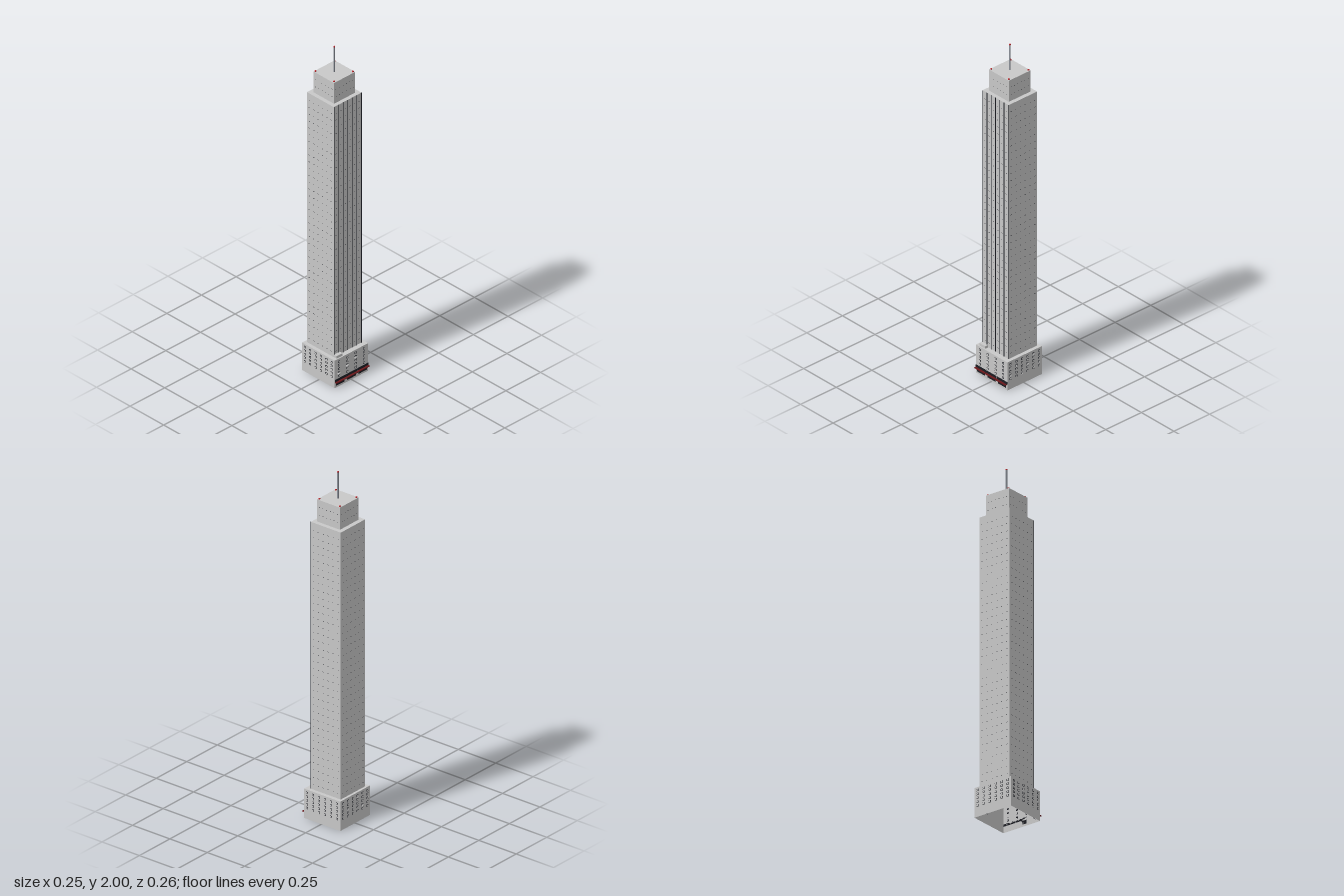
import * as THREE from 'three';
import { mergeGeometries } from 'three/addons/utils/BufferGeometryUtils.js';

const mat = (name, color) => {
  const m = new THREE.MeshStandardMaterial({ color });
  m.name = name;
  return m;
};

// Box geometry given by its extents
function extents(x0, x1, y0, y1, z0, z1) {
  return new THREE.BoxGeometry(x1 - x0, y1 - y0, z1 - z0)
    .translate((x0 + x1) / 2, (y0 + y1) / 2, (z0 + z1) / 2);
}

// Thin box on one wall of a square block: side 0 front, 1 left, 2 back, 3 right
function onWall(block, side, u, y, w, h, depth) {
  return new THREE.BoxGeometry(w, h, depth)
    .translate(u, y, block.half + depth / 2)
    .rotateY(side * Math.PI / 2)
    .translate(0, 0, block.cz);
}

export function createModel() {
  const model = new THREE.Group();
  const concrete = mat('concrete', 0xc8c8c8);
  const dark = mat('dark trim', 0x1c1e24);
  const red = mat('awning red', 0x6a181c);
  const lamp = mat('beacon red', 0xc02a30);
  const steel = mat('steel', 0x8a8f98);

  const add = (name, parts, material) => {
    const list = Array.isArray(parts) ? parts : [parts];
    const mesh = new THREE.Mesh(list.length > 1 ? mergeGeometries(list) : list[0], material);
    mesh.name = name;
    model.add(mesh);
  };

  const podium = { half: 0.121, cz: -0.005 };
  const tower = { half: 0.1, cz: -0.012 };
  const crown = { half: 0.0765, cz: -0.011 };
  const block = (b, y0, y1) =>
    extents(-b.half, b.half, y0, y1, b.cz - b.half, b.cz + b.half);

  // Podium: hollow shell open underneath
  const shell = block(podium, 0, 0.17);
  const index = Array.from(shell.index.array);
  index.splice(18, 6);
  shell.setIndex(index);
  const shellMaterial = mat('podium concrete', 0xc8c8c8);
  shellMaterial.side = THREE.DoubleSide;
  add('podium', shell, shellMaterial);

  // Tower, crown and roof hut
  add('tower', block(tower, 0.17, 1.715), concrete);
  add('crown', block(crown, 1.715, 1.843), concrete);
  add('roofHut', extents(-0.1, -0.057, 0.17, 0.185, 0.088, 0.109), concrete);

  // Vertical fins on the tower front
  const fins = [];
  for (let i = 0; i < 7; i++) {
    fins.push(onWall(tower, 0, -0.0985 + i * 0.0328, 0.9425, 0.003, 1.545, 0.002));
  }
  add('frontFins', fins, dark);

  // Podium windows: dark frames with pale panes
  const frames = [], panes = [];
  for (let side = 0; side < 4; side++) {
    const columns = side === 0 ? [-0.09, -0.03, 0.03, 0.09]
      : [-0.1, -0.06, -0.02, 0.02, 0.06, 0.1];
    for (const u of columns) {
      for (let row = 0; row < 5; row++) {
        const y = 0.064 + row * 0.022;
        frames.push(onWall(podium, side, u, y, 0.013, 0.011, 0.0024));
        panes.push(onWall(podium, side, u, y, 0.0105, 0.0085, 0.0027));
      }
    }
  }
  add('podiumWindowFrames', frames, dark);
  add('podiumWindowPanes', panes, concrete);

  // Tiny window sills on tower and crown
  const sills = [];
  for (let side = 0; side < 4; side++) {
    for (let column = 0; column < 6; column++) {
      const u = (column - 2.5) * 0.0328;
      for (let floor = 0; floor < 36; floor++) {
        sills.push(onWall(tower, side, u, 0.2 + floor * 0.042, 0.008, 0.0012, 0.0008));
      }
      for (let floor = 0; floor < 2; floor++) {
        sills.push(onWall(crown, side, u * 0.75, 1.755 + floor * 0.045, 0.006, 0.0012, 0.0008));
      }
    }
  }
  add('windowSills', sills, dark);

  // Air conditioners below some windows: [side, positions along the wall]
  const coolers = [];
  const places = [
    [1, [-0.1, -0.06, -0.02, 0.02, 0.06, 0.1]],
    [2, [-0.06, 0.02, 0.06]],
    [3, [-0.02, 0.06, 0.1]],
  ];
  for (const [side, list] of places) {
    list.forEach((u, i) => {
      coolers.push(onWall(podium, side, u, 0.058 + ((i * 2 + side) % 5) * 0.022, 0.008, 0.006, 0.006));
    });
  }
  [-0.092, -0.03, 0.03].forEach((u, i) => {
    coolers.push(onWall(podium, 0, u, 0.08 + i * 0.022, 0.015, 0.007, 0.008));
  });
  add('airConditioners', coolers, concrete);

  // Shop fronts: fascia, glass and awnings
  const fascias = [], glass = [], awnings = [];
  for (const x of [-0.081, 0, 0.081]) {
    fascias.push(extents(x - 0.039, x + 0.039, 0.036, 0.05, 0.116, 0.1185));
    glass.push(extents(x - 0.031, x + 0.031, 0.012, 0.034, 0.116, 0.1175));
    awnings.push(extents(x - 0.0385, x + 0.0385, 0.033, 0.037, 0.116, 0.13));
  }
  add('shopFascias', fascias, dark);
  add('shopGlass', glass, dark);
  add('awnings', awnings, red);

  // Antenna and warning beacons
  add('antenna', extents(-0.003, 0.003, 1.843, 1.995, -0.015, -0.009), steel);
  const beacons = [extents(-0.0035, 0.0035, 1.994, 2, -0.0155, -0.0085)];
  for (const x of [-0.068, 0.068]) {
    for (const z of [-0.08, 0.057]) {
      beacons.push(extents(x - 0.0035, x + 0.0035, 1.843, 1.849, z - 0.0035, z + 0.0035));
    }
  }
  add('beacons', beacons, lamp);

  return model;
}
